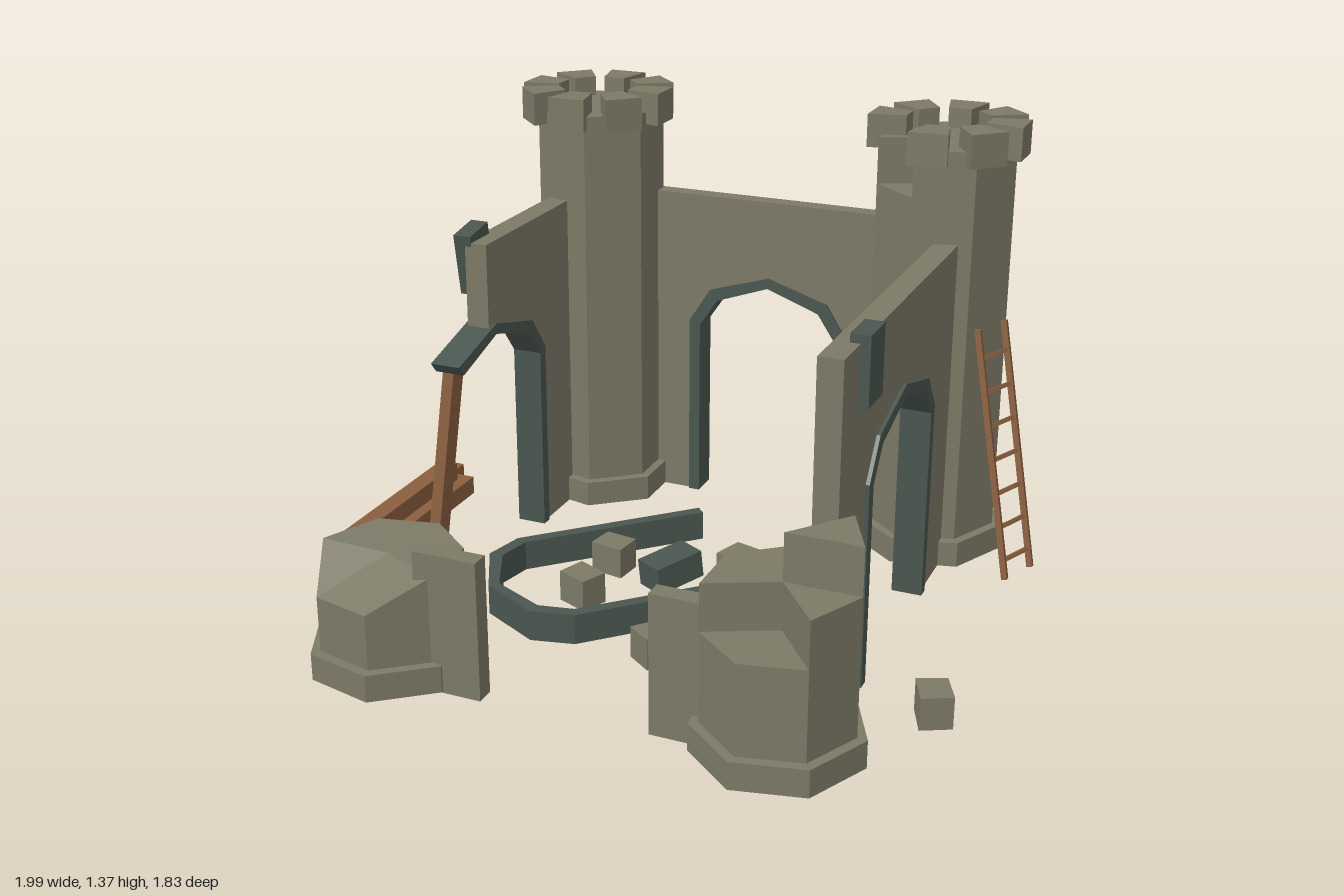
import * as THREE from 'three';

const mat = (color) => new THREE.MeshStandardMaterial({ color, flatShading: true, side: THREE.DoubleSide });
const stone = mat(0x7c7966), dark = mat(0x4a5650), wood = mat(0x8a5f3e);
const GROUND = 0.025, SIDES = 7, STEP = (Math.PI * 2) / SIDES;

export function createModel() {
  const root = new THREE.Group();

  const add = (name, geometry, material, x = 0, y = 0, z = 0, parent = root) => {
    const mesh = new THREE.Mesh(geometry, material);
    mesh.name = name;
    mesh.position.set(x, y, z);
    parent.add(mesh);
    return mesh;
  };
  const toShape = (pts) => new THREE.Shape(pts.map(([x, y]) => new THREE.Vector2(x, y)));
  // Upright slab, centred on its thickness
  const slab = (pts, depth) =>
    new THREE.ExtrudeGeometry(toShape(pts), { depth, bevelEnabled: false }).translate(0, 0, -depth / 2);
  // Ground outline raised to a height
  const prism = (pts, h) =>
    new THREE.ExtrudeGeometry(toShape(pts), { depth: h, bevelEnabled: false }).rotateX(-Math.PI / 2);
  // Square bar between two points
  const bar = (name, a, b, w, d, material, parent = root) => {
    const p = new THREE.Vector3(...a), q = new THREE.Vector3(...b);
    const mesh = add(name, new THREE.BoxGeometry(w, p.distanceTo(q), d), material, 0, 0, 0, parent);
    mesh.position.copy(p).add(q).multiplyScalar(0.5);
    mesh.quaternion.setFromUnitVectors(new THREE.Vector3(0, 1, 0), q.sub(p).normalize());
  };

  // Seven-sided shaft; every sector has its own [first, second, centre] top heights
  const shaft = (sectors, r, side) => {
    const pos = [];
    const tri = (...p) => p.forEach((v) => pos.push(...v));
    const at = (i, y) => [side * r * Math.cos(i * STEP), y, -r * Math.sin(i * STEP)];
    sectors.forEach(([a, b, c], i) => {
      const lowA = at(i, GROUND), lowB = at(i + 1, GROUND), A = at(i, a), B = at(i + 1, b);
      tri(lowA, lowB, B, lowA, B, A);
      tri([0, c, 0], A, B);
      // Broken step against the previous sector
      const [, pb, pc] = sectors[(i + SIDES - 1) % SIDES];
      if (Math.abs(pb - a) + Math.abs(pc - c) > 0.001) {
        tri([0, c, 0], [0, pc, 0], A, [0, pc, 0], at(i, pb), A);
      }
    });
    const g = new THREE.BufferGeometry();
    g.setAttribute('position', new THREE.Float32BufferAttribute(pos, 3));
    g.computeVertexNormals();
    return g;
  };

  const tower = (name, x, z, side, sectors, merlons = []) => {
    const group = new THREE.Group();
    group.name = name;
    group.position.set(x, 0, z);
    root.add(group);
    add('towerShaft', shaft(sectors, 0.207, side), stone, 0, 0, 0, group);
    const foot = [[0.235, GROUND], [0.235, 0.105], [0.2, 0.107]].map((p) => new THREE.Vector2(...p));
    add('towerBase', new THREE.LatheGeometry(foot, SIDES, side * Math.PI / 2), stone, 0, 0, 0, group);
    merlons.forEach((i) => {
      const block = prism([[0.12, -0.035], [0.232, -0.06], [0.232, 0.06], [0.12, 0.035]], 0.1);
      add('merlon', block, stone, 0, 1.28, 0, group).rotation.y = (i * Math.PI) / 4;
    });
  };
  const flat = (heights) => heights.map((h) => [h, h, h]);

  // Whole rear towers, one with a broken sector
  tower('backRightTower', -0.535, -0.685, -1, flat(Array(SIDES).fill(1.32)), [0, 1, 2, 3, 4, 5, 6, 7]);
  tower('backLeftTower', 0.605, -0.685, 1, flat([1.32, 1.32, 1.32, 1.32, 1.18, 1.32, 1.32]), [0, 1, 2, 3, 4, 6, 7]);
  // Ruined front towers
  tower('frontLeftStump', 0.605, 0.68, 1, flat([0.635, 0.5, 0.5, 0.5, 0.365, 0.365, 0.5]));
  const rim = [0.36, 0.365, 0.365, 0.365, 0.36, 0.27, 0.27];
  tower('frontRightStump', -0.535, 0.68, -1, rim.map((h, i) => [h, rim[(i + 1) % SIDES], 0.355]));

  // Pointed arch outline, left foot to right foot
  const archLine = (w, inset) => {
    const half = w - inset, top = inset * 0.9;
    const left = [[-half, 0], [-half, 0.6 - top * 0.4], [-half * 0.74, 0.71 - top]];
    return [...left, [0, 0.772 - top], ...left.map(([x, y]) => [-x, y]).reverse()];
  };
  const archFrame = (w, count = 7) =>
    slab([...archLine(w, 0).slice(0, count), ...archLine(w, 0.036).slice(0, count).reverse()], 0.092);
  const WALL_TOP = 1.02;
  const archWall = (w, from, to, thick) =>
    slab([[from, 0], ...archLine(w, 0.01), [to, 0], [to, WALL_TOP], [from, WALL_TOP]], thick);

  // Rear wall
  add('backWall', archWall(0.267, -0.42, 0.42, 0.055), stone, 0.035, GROUND, -0.757);
  add('backArch', archFrame(0.267), dark, 0.035, GROUND, -0.765);

  // Side walls, one collapsed past the crown of its arch
  add('leftWall', archWall(0.31, -0.52, 0.53, 0.07), stone, 0.66, GROUND, 0).rotation.y = -Math.PI / 2;
  add('leftArch', archFrame(0.31), dark, 0.66, GROUND, 0).rotation.y = -Math.PI / 2;
  const broken = [[-0.52, 0], ...archLine(0.31, 0.01).slice(0, 4), [0.03, 0.76], [0.03, WALL_TOP], [-0.52, WALL_TOP]];
  add('rightWall', slab(broken, 0.07), stone, -0.595, GROUND, 0).rotation.y = -Math.PI / 2;
  add('rightArch', archFrame(0.31, 5), dark, -0.597, GROUND, 0).rotation.y = -Math.PI / 2;

  // Front wall remains
  add('frontWallStub', new THREE.BoxGeometry(0.19, 0.41, 0.055), stone, -0.305, 0.225, 0.748);
  add('frontWallStub', new THREE.BoxGeometry(0.16, 0.41, 0.055), stone, 0.35, 0.225, 0.718);

  // Dark stones set in the side walls
  add('wallStone', new THREE.BoxGeometry(0.055, 0.195, 0.118), dark, 0.695, 0.972, 0.345);
  add('wallStone', new THREE.BoxGeometry(0.055, 0.19, 0.11), dark, -0.637, 0.98, -0.035).rotation.x = 0.17;

  // Front arch lying on the ground
  const fallen = add('fallenArch', archFrame(0.267), dark, 0.125, 0.072, -0.21);
  fallen.rotation.order = 'YXZ';
  fallen.rotation.set(-Math.PI / 2, Math.PI * 0.75, 0);

  // Rubble
  const lump = add('fallenKeystone', new THREE.BoxGeometry(0.1, 0.085, 0.165), dark, -0.025, 0.06, -0.085);
  lump.rotation.set(0.12, -0.52, 0.08);
  [[-0.21, -0.08, 0], [0.165, -0.16, 1.4], [-0.21, 0.15, 2.9], [0.32, 0.225, 0.2],
    [0.13, 0.385, 4.2], [0.28, 0.575, 1.0], [0.93, 0.385, 5.3]].forEach(([x, z, turn]) => {
    const rock = prism([[-0.06, -0.035], [0.045, -0.055], [0.055, 0.035], [-0.045, 0.05]], 0.095);
    add('rubbleStone', rock, stone, x, 0.022, z).rotation.y = turn;
  });

  // Stacked timbers
  [[-0.97, 0.072, -0.44, 0.27], [-0.888, 0.072, -0.36, 0.35], [-0.925, 0.131, -0.32, 0.29]].forEach(([x, y, z0, z1]) =>
    add('timber', new THREE.BoxGeometry(0.06, 0.058, z1 - z0), wood, x, y, (z0 + z1) / 2));

  // Prop under the broken arch
  bar('prop', [-0.67, 0.03, 0.222], [-0.608, 0.725, 0.157], 0.035, 0.06, wood);

  // Ladder leaning on the rear tower
  const ladder = new THREE.Group();
  ladder.name = 'ladder';
  root.add(ladder);
  const rails = [
    [[0.962, 0.035, -0.578], [0.815, 0.79, -0.648]],
    [[0.912, 0.035, -0.462], [0.765, 0.79, -0.532]],
  ];
  rails.forEach(([a, b]) => bar('ladderRail', a, b, 0.018, 0.018, wood, ladder));
  for (let i = 0; i < 7; i++) {
    const t = 0.075 + i * 0.135;
    const [p, q] = rails.map(([a, b]) => a.map((v, k) => v + (b[k] - v) * t));
    bar('ladderRung', p, q, 0.012, 0.012, wood, ladder);
  }

  return root;
}
